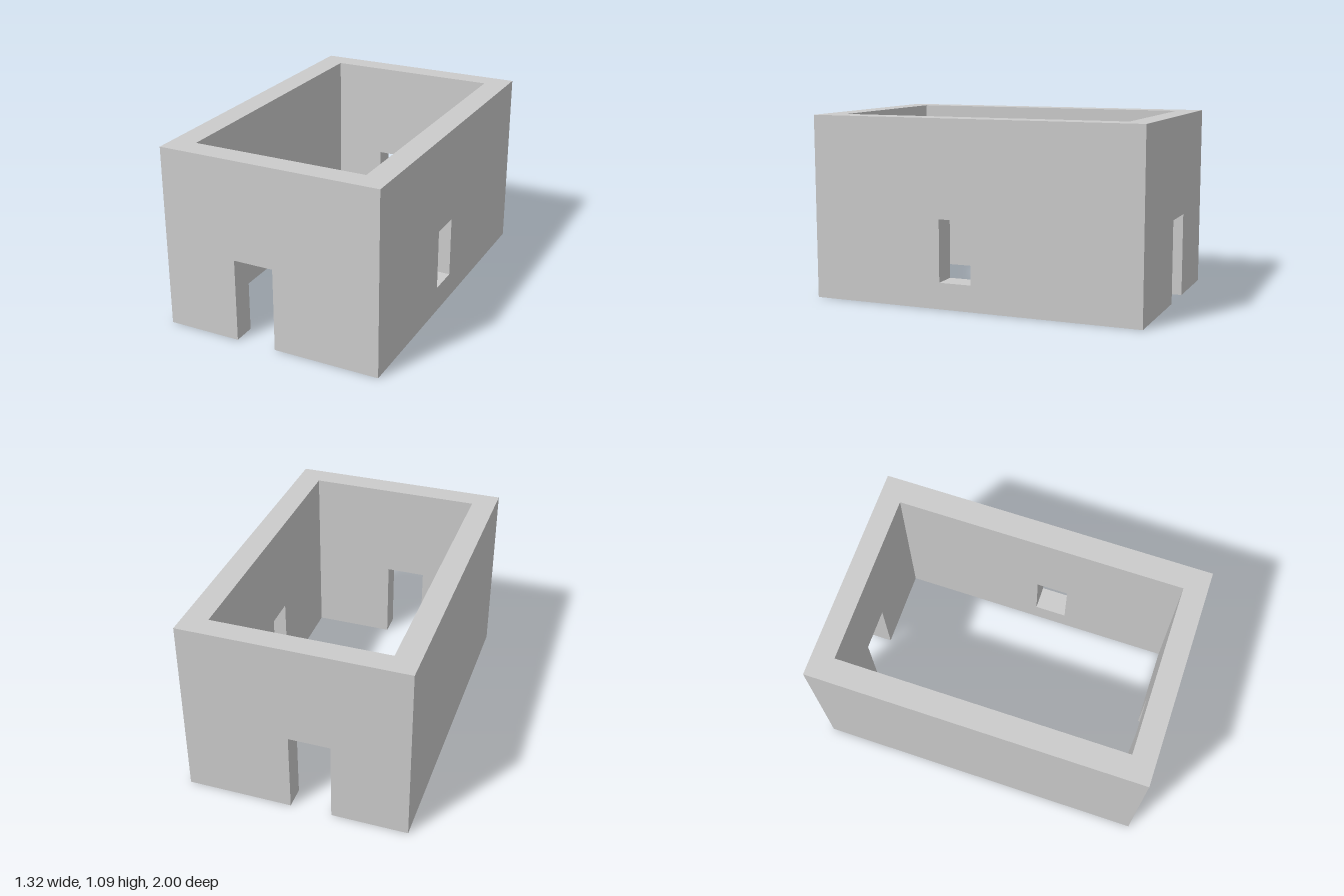
import * as THREE from 'three';

const W = 0.66, L = 1.0, H = 1.09;      // half width, half length, height
const SIDE = 0.143, FRONT = 0.137, BACK = 0.131; // wall thicknesses

const material = new THREE.MeshStandardMaterial({ color: 0xcccccc, flatShading: true });

// Upright wall panel from a to b, with an optional doorway cut from its foot
function panelShape(a, b, door) {
  const s = new THREE.Shape();
  s.moveTo(a, 0);
  if (door) {
    s.lineTo(door.from, 0);
    s.lineTo(door.from, door.height);
    s.lineTo(door.to, door.height);
    s.lineTo(door.to, 0);
  }
  s.lineTo(b, 0);
  s.lineTo(b, H);
  s.lineTo(a, H);
  s.closePath();
  return s;
}

function wall(name, shape, depth) {
  const geometry = new THREE.ExtrudeGeometry(shape, { depth, bevelEnabled: false });
  const mesh = new THREE.Mesh(geometry, material);
  mesh.name = name;
  return mesh;
}

export function createModel() {
  const group = new THREE.Group();
  group.name = 'roofless house';

  // End walls, each with a doorway
  const front = wall('frontWall', panelShape(-W, W, { from: -0.216, to: 0.025, height: 0.5 }), FRONT);
  front.position.z = L - FRONT;
  const back = wall('backWall', panelShape(-W, W, { from: -0.21, to: 0.035, height: 0.494 }), BACK);
  back.position.z = -L;

  // Long walls fit between the end walls; shape x runs along model z
  const z0 = -L + BACK, z1 = L - FRONT;
  const leftShape = panelShape(z0, z1);
  const windowHole = new THREE.Path();
  windowHole.moveTo(0, 0.155);
  windowHole.lineTo(0, 0.52);
  windowHole.lineTo(0.195, 0.52);
  windowHole.lineTo(0.195, 0.155);
  windowHole.closePath();
  leftShape.holes.push(windowHole);

  const left = wall('leftWallWithWindow', leftShape, SIDE);
  left.geometry.rotateY(-Math.PI / 2);
  left.position.x = W;
  const right = wall('rightWall', panelShape(z0, z1), SIDE);
  right.geometry.rotateY(-Math.PI / 2);
  right.position.x = -W + SIDE;

  group.add(front, back, left, right);
  return group;
}
